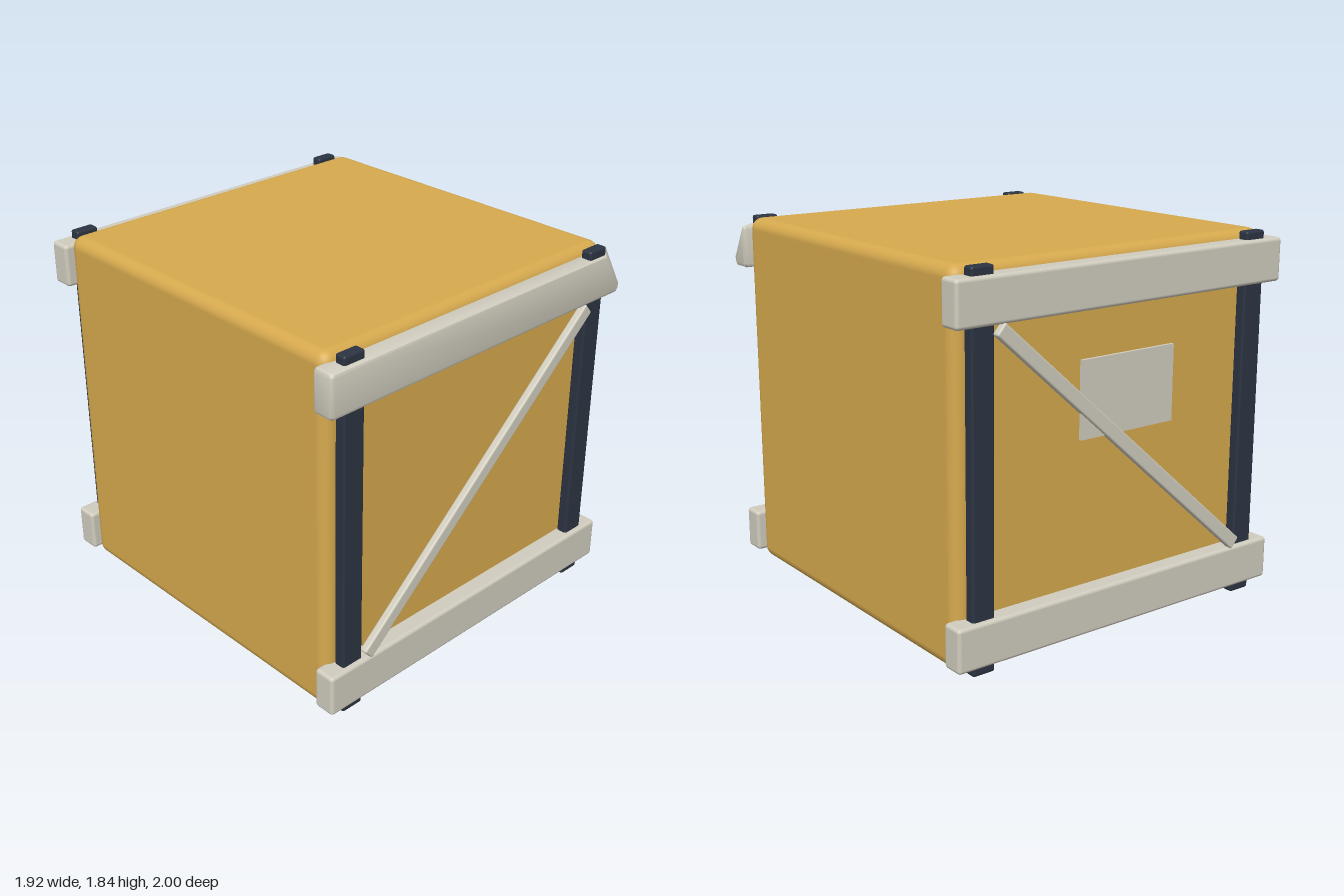
import * as THREE from 'three';
import { toCreasedNormals } from 'three/addons/utils/BufferGeometryUtils.js';
import { RoundedBoxGeometry } from 'three/addons/geometries/RoundedBoxGeometry.js';
import { ConvexGeometry } from 'three/addons/geometries/ConvexGeometry.js';

const material = (name, color) => {
  const m = new THREE.MeshStandardMaterial({ color });
  m.name = name;
  return m;
};

// Rail with its top, front, left corner knocked off along one flat plane
function chippedRail(w, h, d, r) {
  const points = [];
  for (const sx of [-1, 1]) for (const sy of [-1, 1]) for (const sz of [-1, 1]) {
    if (sx + sy + sz === 3) continue;
    const centre = new THREE.Vector3(sx * (w / 2 - r), sy * (h / 2 - r), sz * (d / 2 - r));
    for (const [a, b, c] of [[1, 0, 0], [0, 1, 0], [0, 0, 1], [1, 1, 0], [1, 0, 1], [0, 1, 1]]) {
      points.push(new THREE.Vector3(a * sx, b * sy, c * sz).setLength(r).add(centre));
    }
  }
  points.push(
    new THREE.Vector3(w / 2 - 0.12, h / 2 - 0.003, d / 2 - 0.003),
    new THREE.Vector3(w / 2 - 0.003, h / 2 - 0.17, d / 2 - 0.003),
    new THREE.Vector3(w / 2 - 0.004, h / 2 - 0.004, -d / 2 + 0.015)
  );
  return toCreasedNormals(new ConvexGeometry(points), 0.5);
}

export function createModel() {
  const model = new THREE.Group();
  model.name = 'crate';
  const ochre = material('ochre shell', 0xd6a94e);
  const pale = material('pale trim', 0xd0ccbe);
  const slate = material('dark slate', 0x2c3442);

  const add = (name, geometry, mat, x, y, z, tilt = 0) => {
    const mesh = new THREE.Mesh(geometry, mat);
    mesh.name = name;
    mesh.position.set(x, y, z);
    mesh.rotation.z = tilt;
    model.add(mesh);
  };
  const box = (w, h, d, r) => new RoundedBoxGeometry(w, h, d, 3, r);

  // Shell
  add('body', box(1.84, 1.836, 1.82, 0.06), ochre, 0, 0.922, 0);

  const post = box(0.12, 1.84, 0.058, 0.012);
  const rail = box(1.92, 0.215, 0.115, 0.018);
  const brace = box(1.95, 0.07, 0.04, 0.01);

  // Frames on the front and back faces
  for (const [side, s] of [['front', 1], ['back', -1]]) {
    for (const x of [-0.805, 0.805]) add(side + 'Post', post, slate, x, 0.92, s * 0.941);
    add(side + 'LowerRail', rail, pale, 0, 0.153, s * 0.938);
    add(side + 'UpperRail', s > 0 ? chippedRail(1.92, 0.215, 0.115, 0.018) : rail,
      pale, 0, 1.692, s * 0.938);
    add(side + 'Brace', brace, pale, 0, 0.922, s * 0.979, Math.atan2(1.29, 1.46));
  }

  // Plate mounted behind the back brace
  add('backPlate', new THREE.BoxGeometry(0.55, 0.37, 0.016), pale, 0, 1.18, -0.976);

  return model;
}
